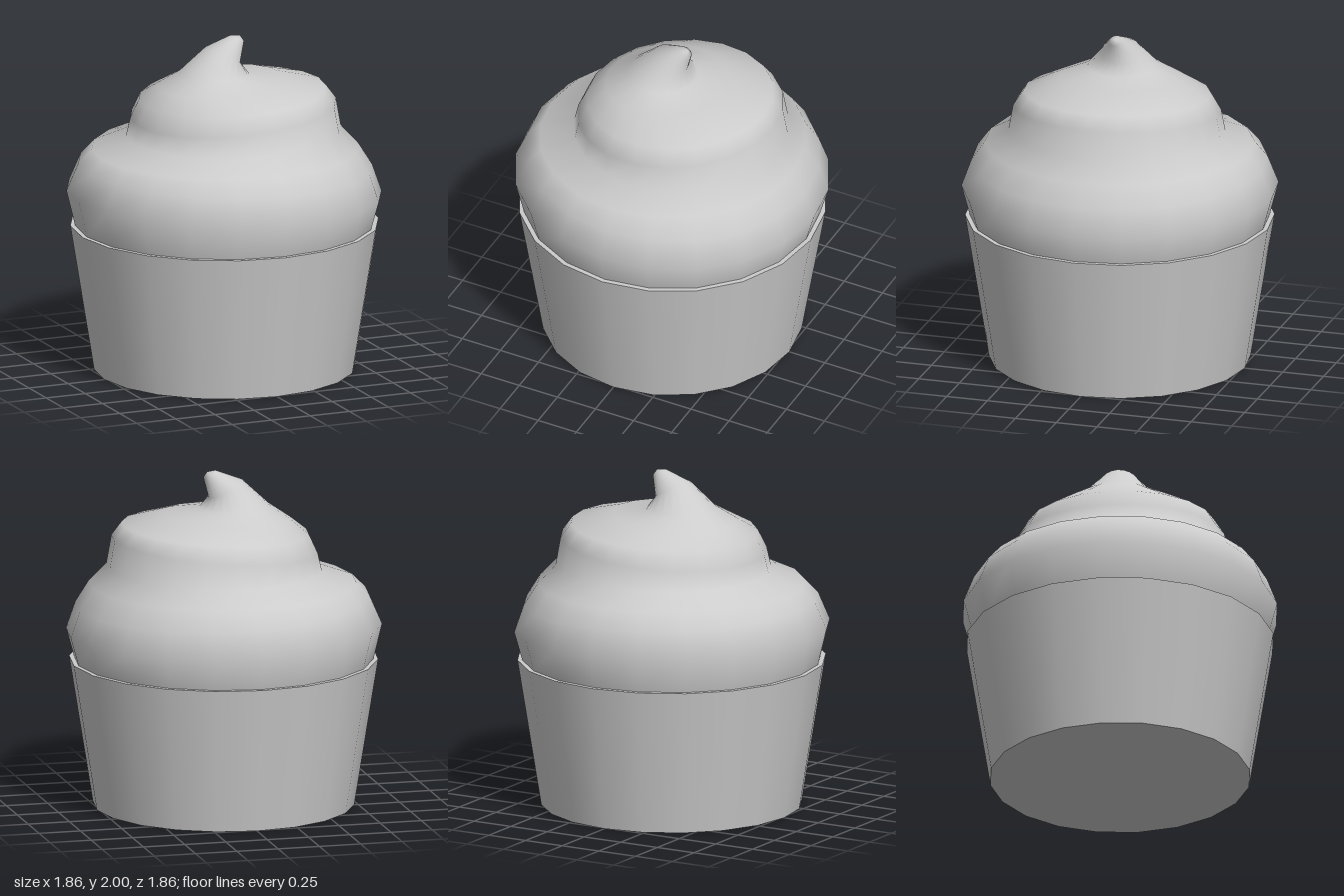
import * as THREE from 'three';

const SIDES = 20;
const material = new THREE.MeshStandardMaterial({ color: 0xcccccc });

// Each tilted ring of the swirl: right x, right y, left x, left y, half depth
const RINGS = [
  [0.87, 0.84, -0.87, 0.84, 0.87],
  [0.88, 0.88, -0.88, 0.88, 0.88],
  [0.925, 1.04, -0.93, 1.09, 0.93],
  [0.87, 1.2, -0.86, 1.25, 0.87],
  [0.79, 1.33, -0.78, 1.33, 0.79],
  [0.69, 1.44, -0.575, 1.405, 0.635],
  [0.66, 1.61, -0.55, 1.51, 0.61],
  [0.6, 1.69, -0.5, 1.62, 0.55],
  [0.34, 1.755, -0.4, 1.7, 0.36],
  [0.14, 1.775, -0.27, 1.79, 0.21],
  [0.09, 1.84, -0.11, 1.94, 0.115],
  [0.122, 1.96, 0.045, 2.0, 0.04],
];
const TIP = [0.1, 1.995, 0];

// Skin the tilted rings and close them at the tip
function swirlGeometry() {
  const positions = [];
  const index = [];
  for (const [rx, ry, lx, ly, depth] of RINGS) {
    for (let j = 0; j < SIDES; j++) {
      const a = (j / SIDES) * Math.PI * 2;
      const t = (1 + Math.cos(a)) / 2;
      positions.push(lx + (rx - lx) * t, ly + (ry - ly) * t, depth * Math.sin(a));
    }
  }
  positions.push(...TIP);
  const last = RINGS.length - 1;
  for (let i = 0; i <= last; i++) {
    for (let j = 0; j < SIDES; j++) {
      const k = (j + 1) % SIDES;
      const a = i * SIDES + j, b = i * SIDES + k;
      if (i === last) index.push(a, RINGS.length * SIDES, b);
      else index.push(a, a + SIDES, b, b, a + SIDES, b + SIDES);
    }
  }
  const geometry = new THREE.BufferGeometry();
  geometry.setAttribute('position', new THREE.Float32BufferAttribute(positions, 3));
  geometry.setIndex(index);
  geometry.computeVertexNormals();
  return geometry;
}

export function createModel() {
  const group = new THREE.Group();
  group.name = 'cupcake';

  // Tapered paper cup, its top showing as a narrow rim
  const cup = new THREE.Mesh(new THREE.CylinderGeometry(0.907, 0.767, 0.875, SIDES), material);
  cup.name = 'cup';
  cup.position.y = 0.4375;

  // Two-tier frosting with a bent peak
  const frosting = new THREE.Mesh(swirlGeometry(), material);
  frosting.name = 'frosting';

  group.add(cup, frosting);
  return group;
}
